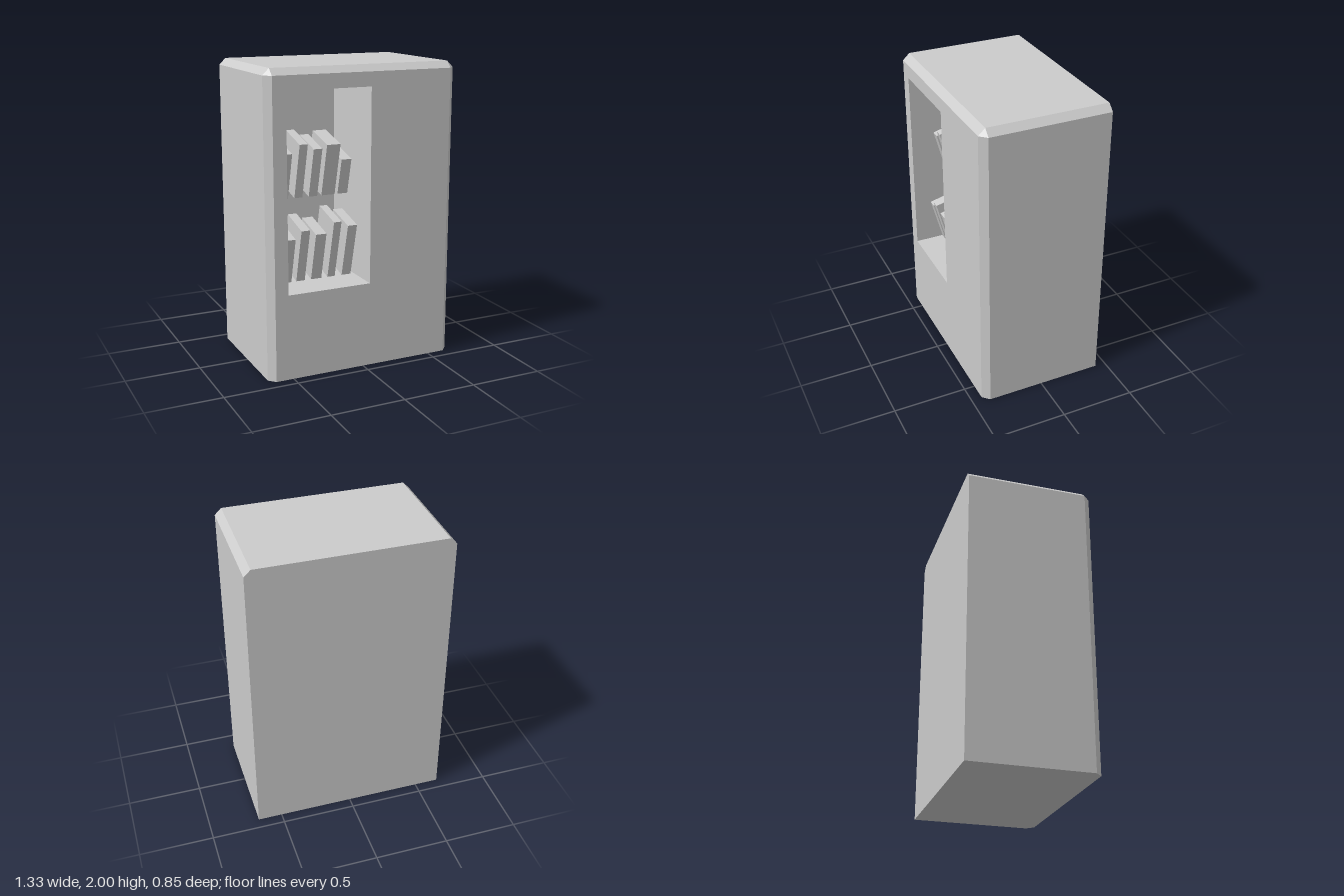
import * as THREE from 'three';

// outer size (W, H, D) and where the chamfers begin (w, h, d)
const W = 0.664, w = 0.62, H = 2, h = 1.957, D = 0.427, d = 0.381;
// recess opening and depth of its back wall
const X0 = -0.53, X1 = 0.047, Y0 = 0.572, Y1 = 1.863, BACK = -0.135;

const material = new THREE.MeshStandardMaterial({ color: 0xcccccc, flatShading: true });

// flat polygons, corners counter-clockwise as seen from their visible side
function polygons(faces) {
  const pos = [];
  for (const f of faces)
    for (let i = 1; i < f.length - 1; i++) pos.push(...f[0], ...f[i], ...f[i + 1]);
  const g = new THREE.BufferGeometry();
  g.setAttribute('position', new THREE.Float32BufferAttribute(pos, 3));
  g.computeVertexNormals();
  return g;
}

function addMesh(parent, geometry, name) {
  const mesh = new THREE.Mesh(geometry, material);
  mesh.name = name;
  parent.add(mesh);
  return mesh;
}

function createCabinet() {
  const cabinet = new THREE.Group();
  cabinet.name = 'cabinet';

  // shell: top, front chamfer, back and underside
  const faces = [
    [[-w, H, d], [w, H, d], [w, H, -D], [-w, H, -D]],
    [[-w, h, D], [w, h, D], [w, H, d], [-w, H, d]],
    [[W, 0, -D], [-W, 0, -D], [-W, h, -D], [-w, H, -D], [w, H, -D], [W, h, -D]],
    [[-W, 0, -D], [W, 0, -D], [W, 0, d], [w, 0, D], [-w, 0, D], [-W, 0, d]],
  ];
  // side wall, its two chamfers and the corner facet, mirrored
  const side = [
    [[W, 0, d], [W, 0, -D], [W, h, -D], [W, h, d]],
    [[w, 0, D], [W, 0, d], [W, h, d], [w, h, D]],
    [[W, h, d], [W, h, -D], [w, H, -D], [w, H, d]],
    [[w, h, D], [W, h, d], [w, H, d]],
  ];
  for (const f of side) faces.push(f, f.map(([x, y, z]) => [-x, y, z]).reverse());
  addMesh(cabinet, polygons(faces), 'cabinetShell');

  // front panel with the opening
  const corners = [[X0, Y0], [X1, Y0], [X1, Y1], [X0, Y1]];
  const panel = new THREE.Shape([[-w, 0], [w, 0], [w, h], [-w, h]].map(p => new THREE.Vector2(...p)));
  panel.holes.push(new THREE.Path(corners.map(p => new THREE.Vector2(...p))));
  addMesh(cabinet, new THREE.ShapeGeometry(panel).translate(0, 0, D), 'frontPanel');

  // recess: four walls and a back
  const walls = corners.map((a, i) => {
    const b = corners[(i + 1) % 4];
    return [[...a, D], [...b, D], [...b, BACK], [...a, BACK]];
  });
  walls.push(corners.map(c => [...c, BACK]));
  addMesh(cabinet, polygons(walls), 'recess');
  return cabinet;
}

// a row of slabs leaning forward; each entry is [left, right, front top height]
function createRow(name, bottom, z, items) {
  const tilt = 0.26, depth = 0.236;
  const row = new THREE.Group();
  row.name = name;
  for (const [left, right, top] of items) {
    const length = (top - bottom) / Math.cos(tilt);
    // pivot at the lower front edge
    const g = new THREE.BoxGeometry(right - left, length, depth).translate(0, length / 2, -depth / 2);
    const book = addMesh(row, g, 'book');
    book.position.set((left + right) / 2, bottom, z);
    book.rotation.x = tilt;
  }
  return row;
}

export function createModel() {
  const model = new THREE.Group();
  model.name = 'bookCabinet';
  model.add(
    createCabinet(),
    createRow('upperBooks', 1.141, 0.198, [
      [-0.495, -0.434, 1.447], [-0.389, -0.333, 1.505], [-0.288, -0.228, 1.467],
      [-0.198, -0.103, 1.489], [-0.082, -0.011, 1.38],
    ]),
    createRow('lowerBooks', 0.592, 0.24, [
      [-0.495, -0.434, 0.9], [-0.399, -0.339, 0.954], [-0.294, -0.22, 0.917],
      [-0.175, -0.122, 0.991], [-0.071, -0.005, 0.954],
    ]),
  );
  return model;
}
